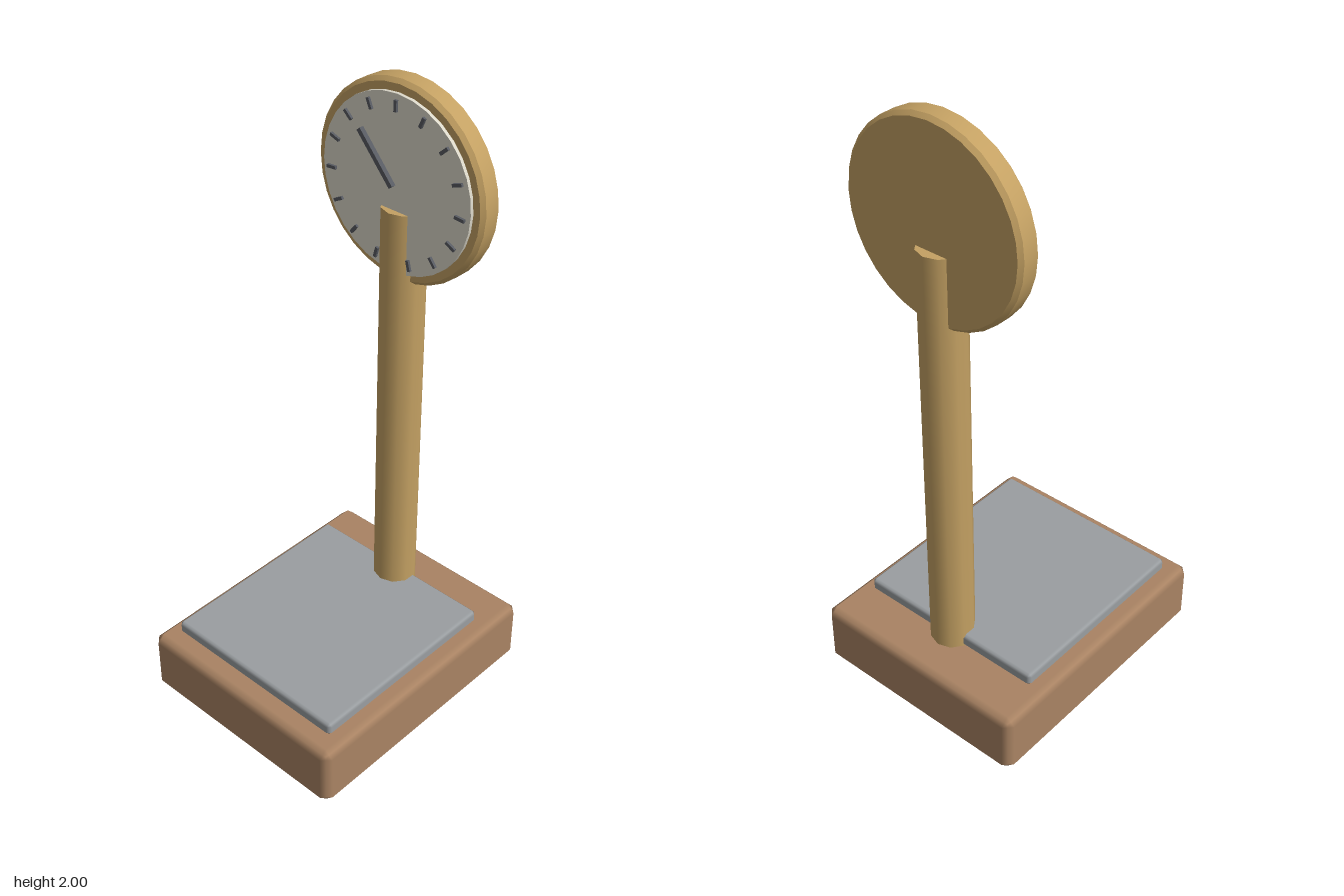
import * as THREE from 'three';
import { toCreasedNormals } from 'three/addons/utils/BufferGeometryUtils.js';

const paint = (name, color) => {
  const m = new THREE.MeshStandardMaterial({ color });
  m.name = name;
  return m;
};

// Box with one 45 degree chamfer on every edge and normals blended over the chamfer
function chamferBox(w, h, d, c) {
  const g = new THREE.BoxGeometry(1, 1, 1, 3, 3, 3);
  const p = g.attributes.position, n = g.attributes.normal;
  const half = new THREE.Vector3(w / 2 - c, h / 2 - c, d / 2 - c);
  const dir = new THREE.Vector3();
  const cut = (v) => (Math.abs(v) > 0.4 ? Math.sign(v) : 0);
  for (let i = 0; i < p.count; i++) {
    const x = p.getX(i), y = p.getY(i), z = p.getZ(i);
    dir.set(cut(x), cut(y), cut(z));
    const s = c / (Math.abs(dir.x) + Math.abs(dir.y) + Math.abs(dir.z));
    p.setXYZ(i,
      Math.sign(x) * half.x + dir.x * s,
      Math.sign(y) * half.y + dir.y * s,
      Math.sign(z) * half.z + dir.z * s);
    dir.normalize();
    n.setXYZ(i, dir.x, dir.y, dir.z);
  }
  return g;
}

export function createModel() {
  const wood = paint('brown base', 0xa98363);
  const brass = paint('brass', 0xc4a163);
  const steel = paint('grey platform', 0x9a9ea1);
  const ivory = paint('ivory dial', 0xdcd8ca);
  const dark = paint('dark marks', 0x585b62);

  const model = new THREE.Group();
  model.name = 'platformScale';
  const add = (parent, name, geometry, material, x = 0, y = 0, z = 0) => {
    const mesh = new THREE.Mesh(geometry, material);
    mesh.name = name;
    mesh.position.set(x, y, z);
    parent.add(mesh);
    return mesh;
  };

  // Base and weighing platform
  add(model, 'base', chamferBox(0.774, 0.217, 0.926, 0.027), wood, 0, 0.1085, 0);
  add(model, 'platform', chamferBox(0.667, 0.046, 0.696, 0.012), steel, 0, 0.237, 0.045);

  // Ten-sided post
  add(model, 'post', new THREE.CylinderGeometry(0.0715, 0.0715, 1.414, 10), brass, 0, 0.909, -0.278);

  // Dial head, centred on the needle's pivot
  const head = new THREE.Group();
  head.name = 'dialHead';
  head.position.set(0, 1.693, 0);
  model.add(head);

  // Round case with chamfered rims
  const R = 0.307, H = 0.038, C = 0.012;
  const profile = [[0, -H], [R - C, -H], [R, C - H], [R, H - C], [R - C, H], [0, H]]
    .map(([r, y]) => new THREE.Vector2(r, y));
  const caseGeometry = toCreasedNormals(new THREE.LatheGeometry(profile, 32), 0.6);
  caseGeometry.rotateX(Math.PI / 2);
  add(head, 'dialCase', caseGeometry, brass, 0, 0, -0.28);

  // Dial face
  const face = new THREE.CylinderGeometry(0.272, 0.272, 0.014, 32).rotateX(Math.PI / 2);
  add(head, 'dialFace', face, ivory, 0, 0, -0.238);

  // Tick marks fanned from lower left to lower right
  const ticks = 15, sweep = THREE.MathUtils.degToRad(330);
  const tickGeometry = new THREE.BoxGeometry(0.01, 0.034, 0.009);
  for (let i = 0; i < ticks; i++) {
    const a = sweep * (i / (ticks - 1) - 0.5);
    const tick = add(head, 'tick', tickGeometry, dark,
      Math.sin(a) * 0.238, Math.cos(a) * 0.238, -0.2275);
    tick.rotation.z = -a;
  }

  // Needle pointing up and to the side
  const needle = add(head, 'needle',
    new THREE.BoxGeometry(0.015, 0.186, 0.015).translate(0, 0.093, 0), dark, 0, 0, -0.2195);
  needle.rotation.z = THREE.MathUtils.degToRad(41.5);

  return model;
}
